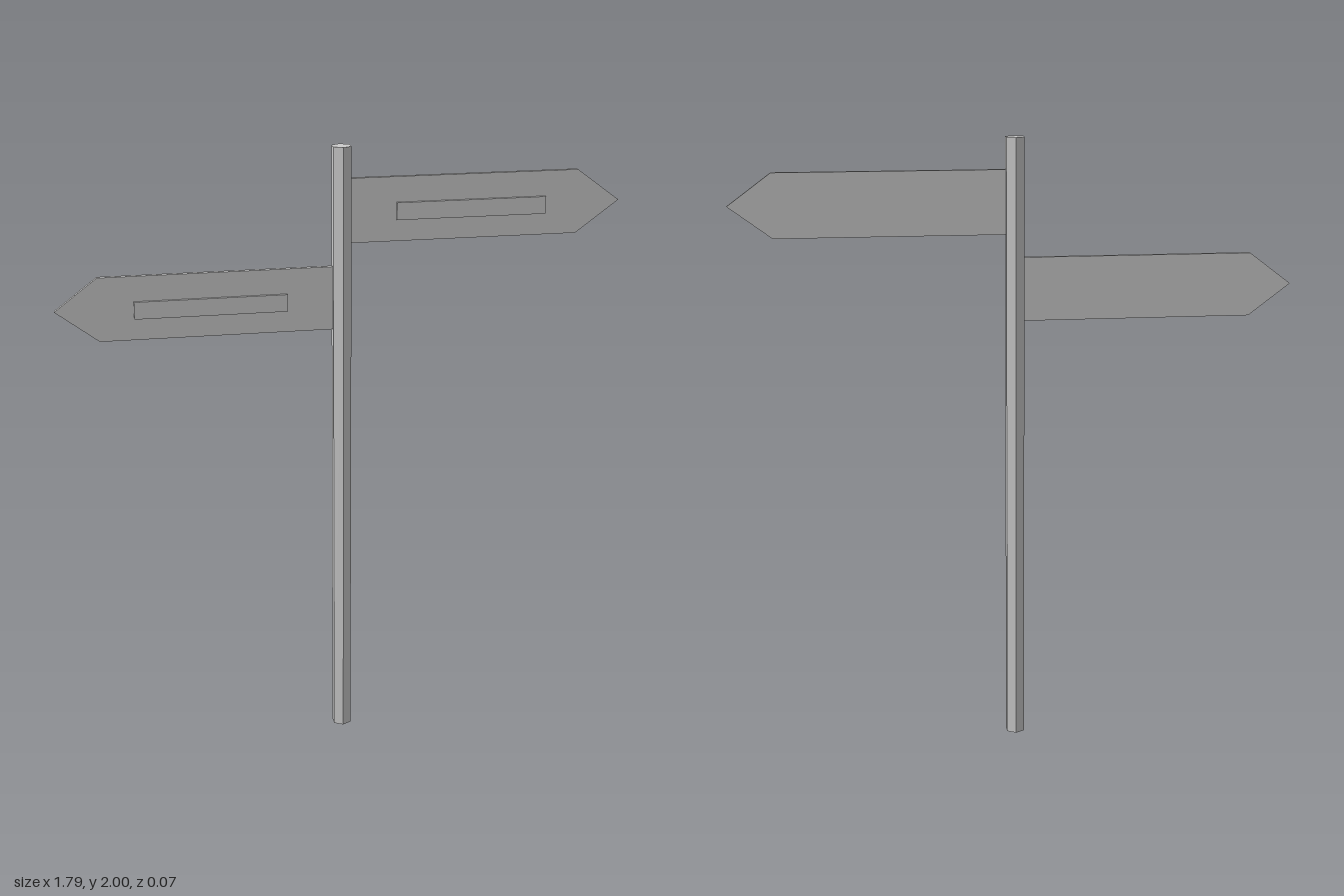
import * as THREE from 'three';

export function createModel() {
  const model = new THREE.Group();
  model.name = 'signpost';
  const grey = new THREE.MeshStandardMaterial({ color: 0xcccccc });
  grey.name = 'grey';

  const add = (geometry, name, parent) => {
    const flat = geometry.index ? geometry.toNonIndexed() : geometry;
    flat.computeVertexNormals();
    const mesh = new THREE.Mesh(flat, grey);
    mesh.name = name;
    parent.add(mesh);
    return mesh;
  };

  // Hexagonal post with an edge facing the front
  add(new THREE.CylinderGeometry(0.033, 0.033, 2, 6), 'post', model).position.y = 1;

  // Pointed board with a raised text panel; side is +1 or -1
  const addSign = (name, side, y, shoulder, tip) => {
    const sign = new THREE.Group();
    sign.name = name;
    sign.position.y = y;

    const points = [[0.015, -0.102], [shoulder, -0.102], [tip, 0], [shoulder, 0.102], [0.015, 0.102]];
    const outline = new THREE.Shape(points.map(([x, h]) => new THREE.Vector2(side * x, h)));
    const board = new THREE.ExtrudeGeometry(outline, { depth: 0.014, bevelEnabled: false });
    add(board, 'arrowBoard', sign).position.z = -0.009;

    const panel = add(new THREE.BoxGeometry(0.48, 0.055, 0.011), 'raisedPanel', sign);
    panel.position.set(side * 0.413, -0.006, 0.0085);
    model.add(sign);
  };

  addSign('leftSign', 1, 1.797, 0.757, 0.895);
  addSign('rightSign', -1, 1.52, 0.762, 0.897);

  return model;
}
